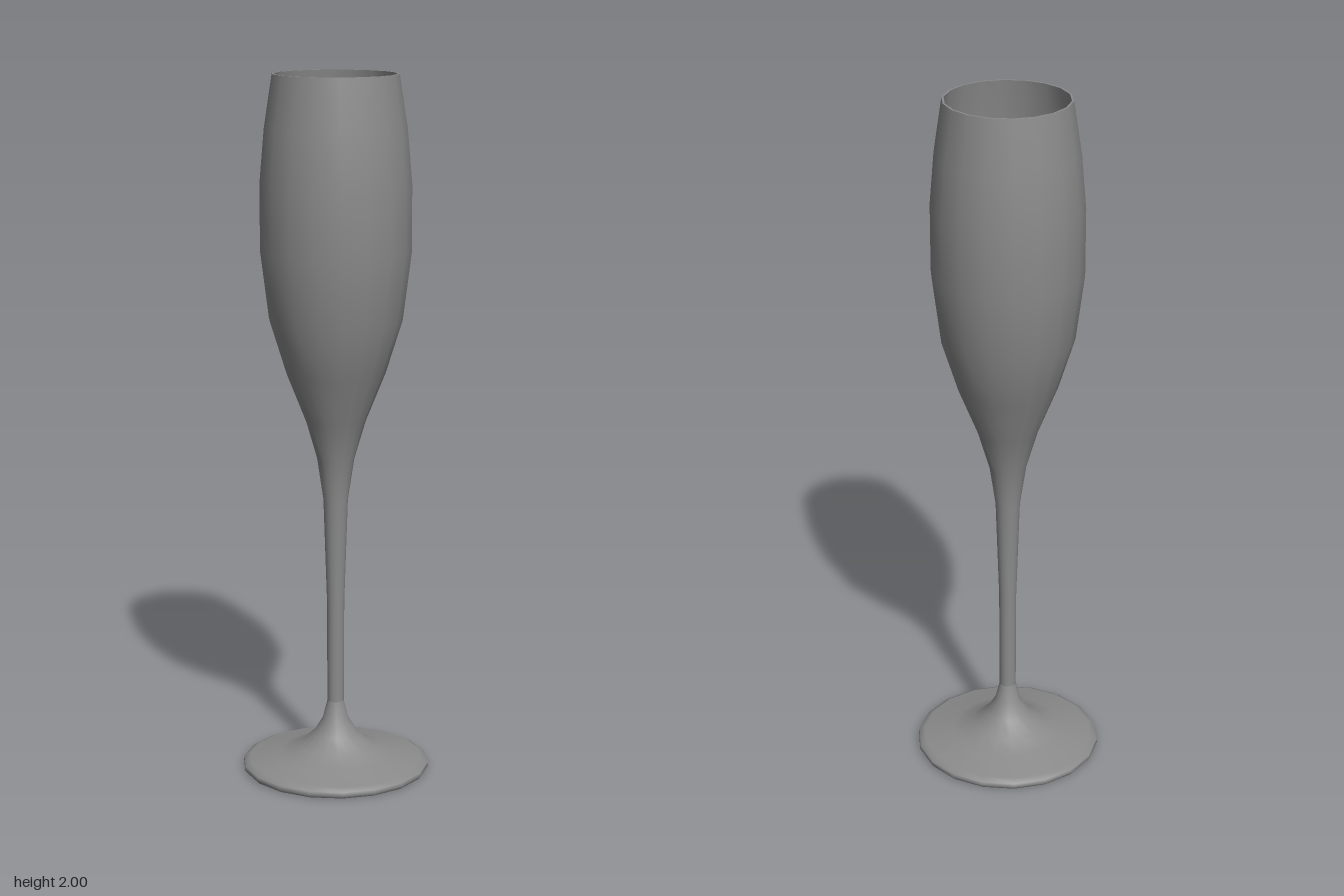
import * as THREE from 'three';

const SIDES = 18;

export function createModel() {
  const group = new THREE.Group();
  group.name = 'fluteGlass';
  const material = new THREE.MeshStandardMaterial({ color: 0x8b8b8b });

  // Each part is a turned [radius, height] profile; separate parts keep the edges between them sharp.
  const turn = (name, profile) => {
    const points = profile.map(([r, y]) => new THREE.Vector2(r, y));
    const mesh = new THREE.Mesh(new THREE.LatheGeometry(points, SIDES), material);
    mesh.name = name;
    group.add(mesh);
  };

  // Flat underside of the foot
  turn('footUnderside', [[0, 0], [0.264, 0]]);

  // Rounded edge and flared foot rising into the stem
  turn('foot', [
    [0.264, 0], [0.27, 0.008], [0.268, 0.019], [0.25, 0.028], [0.162, 0.045],
    [0.107, 0.066], [0.064, 0.103], [0.037, 0.147], [0.024, 0.2],
  ]);

  // Slender stem opening into the tulip bowl
  turn('stemAndBowl', [
    [0.024, 0.2], [0.025, 0.5], [0.035, 0.8], [0.053, 0.92], [0.085, 1.03],
    [0.141, 1.17], [0.188, 1.32], [0.212, 1.51], [0.212, 1.7],
    [0.199, 1.85], [0.176, 2],
  ]);

  // Narrow flat lip
  turn('rim', [[0.176, 2], [0.17, 2]]);

  // Inner wall of the bowl and its small flat bottom
  turn('bowlInside', [
    [0.17, 2], [0.193, 1.85], [0.206, 1.7], [0.206, 1.51], [0.182, 1.32],
    [0.135, 1.17], [0.079, 1.04], [0.046, 0.94], [0.018, 0.86],
  ]);
  turn('bowlBottom', [[0.018, 0.86], [0, 0.86]]);

  return group;
}
